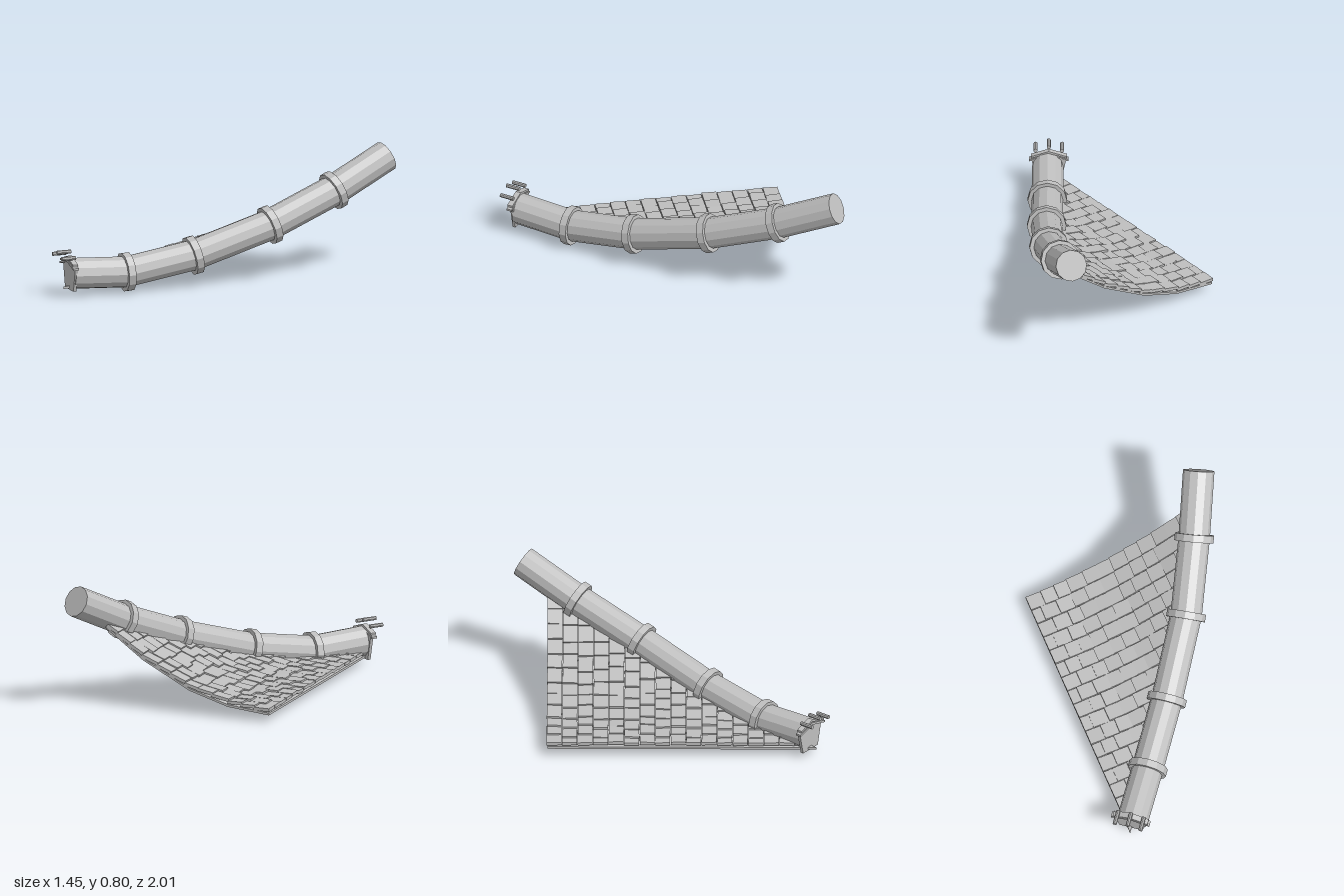
import * as THREE from 'three';

const stone = new THREE.MeshStandardMaterial({ color: 0xbebebe, flatShading: true });
stone.name = 'grey stone';

// Joints of the ridge pole, from the low front end to the high back end
const joints = [
  [-0.59, 0.148, 0.885], [-0.36, 0.13, 0.59], [-0.08, 0.205, 0.235],
  [0.23, 0.36, -0.19], [0.455, 0.535, -0.595], [0.632, 0.716, -0.943],
].map((p) => new THREE.Vector3(...p));

// Roof slope: height of the underside by x
const slope = [[-0.622, 0.05], [-0.34, 0.08], [-0.08, 0.16], [0.24, 0.33], [0.47, 0.5], [0.55, 0.565]];
const backZ = -0.78;

function lerpTable(table, x) {
  let i = 0;
  while (i < table.length - 2 && x > table[i + 1][0]) i++;
  const [a, b] = [table[i], table[i + 1]];
  return a[1] + ((b[1] - a[1]) * (x - a[0])) / (b[0] - a[0]);
}
const roofY = (x) => lerpTable(slope, x);
const ridgeZ = (x) => Math.max(backZ, lerpTable(joints.map((p) => [p.x, p.z]), x));

function seeded(seed) {
  return () => {
    seed = (seed * 16807) % 2147483647;
    return seed / 2147483647;
  };
}

function add(parent, name, geometry) {
  const mesh = new THREE.Mesh(geometry, stone);
  mesh.name = name;
  parent.add(mesh);
  return mesh;
}

// Turn a cylinder so its axis follows dir
function aim(mesh, dir) {
  const y = dir.clone().normalize();
  const x = new THREE.Vector3().crossVectors(y, new THREE.Vector3(0, 1, 0)).normalize();
  const z = new THREE.Vector3().crossVectors(x, y);
  mesh.quaternion.setFromRotationMatrix(new THREE.Matrix4().makeBasis(x, y, z));
}

// Closed skin over four-cornered cross-sections
function loft(sections) {
  const index = [0, 1, 2, 0, 2, 3];
  const n = sections.length;
  for (let s = 0; s < n - 1; s++) {
    for (let k = 0; k < 4; k++) {
      const a = s * 4 + k, b = s * 4 + ((k + 1) % 4);
      index.push(a, b + 4, b, a, a + 4, b + 4);
    }
  }
  const e = (n - 1) * 4;
  index.push(e, e + 2, e + 1, e, e + 3, e + 2);
  const g = new THREE.BufferGeometry();
  g.setAttribute('position', new THREE.Float32BufferAttribute(sections.flat(2), 3));
  g.setIndex(index);
  const flat = g.toNonIndexed();
  flat.computeVertexNormals();
  return flat;
}

function extrude(points, depth) {
  const shape = new THREE.Shape(points.map((p) => new THREE.Vector2(...p)));
  return new THREE.ExtrudeGeometry(shape, { depth, bevelEnabled: false });
}

export function createModel() {
  const model = new THREE.Group();
  model.name = 'roofHip';

  // Ridge pole sections
  const pole = new THREE.Group();
  pole.name = 'ridgePole';
  model.add(pole);
  for (let i = 0; i < joints.length - 1; i++) {
    const dir = joints[i + 1].clone().sub(joints[i]);
    const tube = add(pole, 'poleSection', new THREE.CylinderGeometry(0.1, 0.1, dir.length(), 12));
    tube.position.copy(joints[i]).addScaledVector(dir, 0.5);
    aim(tube, dir);
  }

  // Collars over the joints
  for (let i = 1; i < joints.length - 1; i++) {
    const before = joints[i].clone().sub(joints[i - 1]).normalize();
    const after = joints[i + 1].clone().sub(joints[i]).normalize();
    const collar = add(pole, 'collar', new THREE.CylinderGeometry(0.125, 0.125, 0.048, 12));
    collar.position.copy(joints[i]);
    aim(collar, before.add(after));
  }

  // Curved roof deck, cut along the ridge
  add(model, 'roofDeck', loft(slope.map(([x, y]) => {
    const z = ridgeZ(x);
    return [[x, y, backZ], [x, y, z], [x, y + 0.015, z], [x, y + 0.015, backZ]];
  })));

  // Rows of overlapping tiles, staggered and slightly uneven, each lifted at its lower edge
  const tiles = new THREE.Group();
  tiles.name = 'roofTiles';
  model.add(tiles);
  const random = seeded(77);
  const width = 0.0985;
  for (let z = backZ - 0.008, row = 0; z < 0.85; z += width, row++) {
    let x0 = -0.625;
    let run = row % 2 ? 0.06 : 0.1;
    while (x0 < 0.52) {
      const mid = x0 + run / 2;
      const end = Math.min(z + width, ridgeZ(mid));
      if (end - z > 0.01) {
        const rise = roofY(x0 + run) - roofY(x0);
        const tile = add(tiles, 'tile',
          new THREE.BoxGeometry(Math.hypot(run, rise) + 0.006, 0.02, end - z - 0.004));
        tile.position.set(mid + 0.003, roofY(mid) + 0.032 + random() * 0.008, (z + end) / 2);
        tile.rotation.set((random() - 0.5) * 0.08, (random() - 0.5) * 0.04, Math.atan2(rise, run) - 0.1);
      }
      x0 += run;
      run = 0.08 + random() * 0.03;
    }
  }

  // Ornamented front end of the pole
  const front = new THREE.Group();
  front.name = 'frontEnd';
  front.position.set(-0.59, 0, 0.873);
  front.rotation.y = -Math.atan2(0.61, 0.79);
  model.add(front);
  add(front, 'endPlate', extrude([[-0.075, 0.043], [0.075, 0.043], [0.11, 0.2], [0, 0.245], [-0.11, 0.2]], 0.02));

  // Two stacked gable ledges
  [[0.126, 0.19], [0.114, 0.212]].forEach(([w, y]) => {
    const ledge = add(front, 'gableLedge', extrude(
      [[-w, y], [0, y + 0.035], [w, y], [w, y + 0.013], [0, y + 0.05], [-w, y + 0.013]], 0.036));
    ledge.position.z = 0.002;
  });

  // Three short round tiles on top
  for (const side of [-1, 0, 1]) {
    const cap = add(front, 'capTile', new THREE.CylinderGeometry(0.013, 0.013, 0.092, 8));
    cap.rotation.x = Math.PI / 2;
    cap.position.set(side * 0.084, side ? 0.263 : 0.288, 0.056);
  }
  return model;
}
